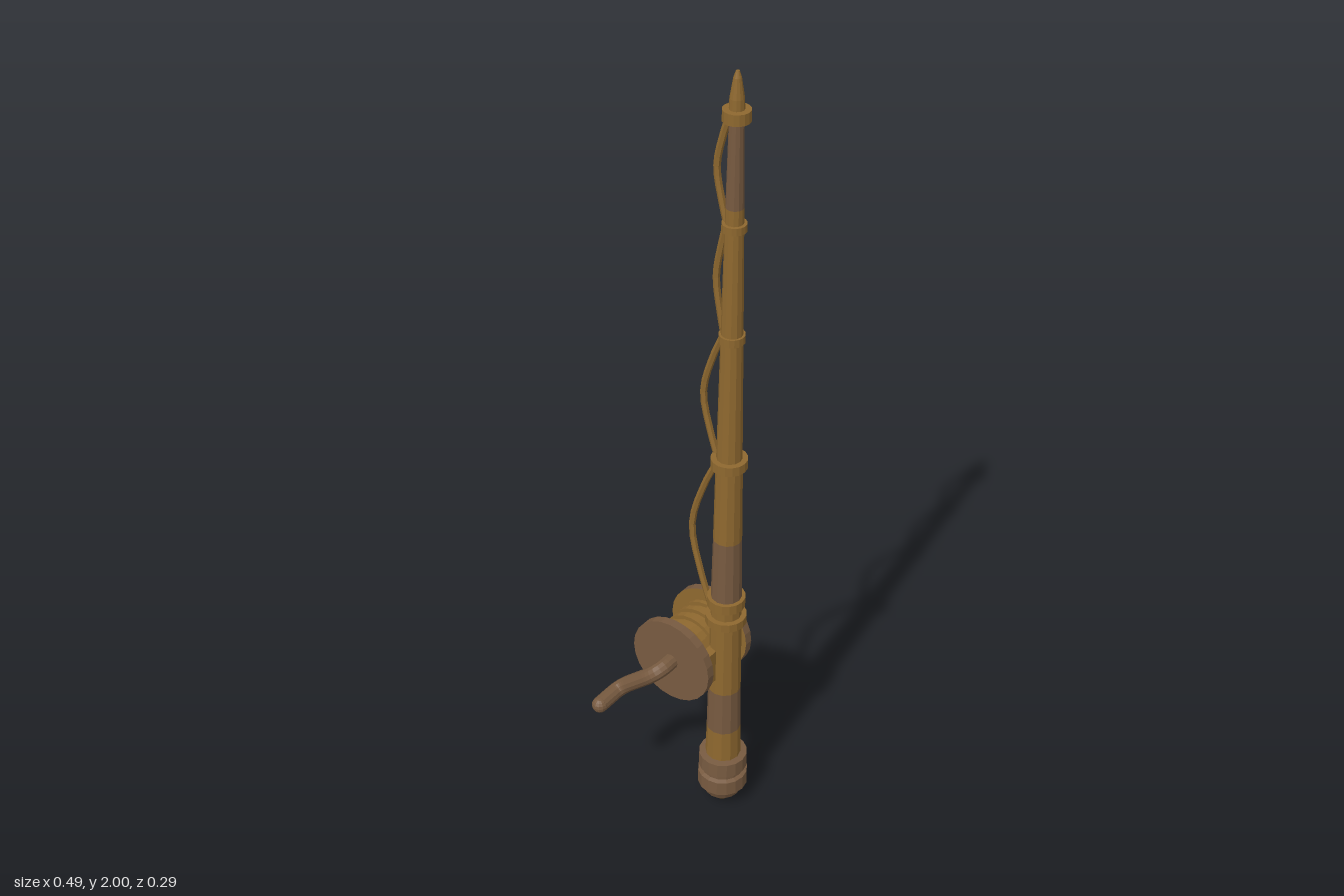
import * as THREE from 'three';

export function createModel() {
  const ochre = new THREE.MeshStandardMaterial({ color: 0x8e682f, flatShading: true });
  ochre.name = 'ochre wood';
  const brown = new THREE.MeshStandardMaterial({ color: 0x775a40, flatShading: true });
  brown.name = 'brown wood';

  const model = new THREE.Group();
  model.name = 'fishingRod';
  const add = (parent, name, geo, mat) => {
    const mesh = new THREE.Mesh(geo, mat);
    mesh.name = name;
    parent.add(mesh);
    return mesh;
  };

  // Rod: leans very slightly forward from butt to tip
  const rod = new THREE.Group();
  rod.name = 'rod';
  rod.position.z = 0.079;
  rod.rotation.x = 0.0108;
  model.add(rod);

  // Tapered shaft sections: bottom y, top y, bottom radius, top radius, stained
  const sections = [
    [0.14, 0.24, 0.044, 0.042, false],
    [0.24, 0.365, 0.042, 0.04, true],
    [0.365, 0.65, 0.04, 0.037, false],
    [0.65, 0.82, 0.037, 0.034, true],
    [0.82, 1.05, 0.034, 0.031, false],
    [1.05, 1.38, 0.03, 0.025, false],
    [1.38, 1.69, 0.025, 0.02, false],
    [1.69, 1.9, 0.02, 0.016, true],
  ];
  const start = -Math.PI * 5 / 6, arc = Math.PI * 4 / 3;
  for (const [y0, y1, r0, r1, stained] of sections) {
    const part = (name, mat, segs, from, len) => {
      const geo = new THREE.CylinderGeometry(r1, r0, y1 - y0, segs, 1, true, from, len);
      add(rod, name, geo, mat).position.y = (y0 + y1) / 2;
    };
    part('shaftFront', stained ? brown : ochre, 8, start, arc);
    part('shaftBack', ochre, 4, start + arc, Math.PI * 2 - arc);
  }

  // Guide rings: y, radius, height
  const rings = [
    [0.585, 0.05, 0.022], [0.637, 0.046, 0.026], [1.038, 0.043, 0.024],
    [1.37, 0.03, 0.02], [1.645, 0.028, 0.018], [1.903, 0.031, 0.026],
  ];
  for (const [y, r, h] of rings) {
    add(rod, 'guideRing', new THREE.CylinderGeometry(r, r, h, 16), ochre).position.y = y;
  }

  // Tip
  const tip = [[0.017, 1.91], [0.016, 1.94], [0.009, 1.985], [0.004, 2], [0, 2]];
  add(rod, 'tip', new THREE.LatheGeometry(tip.map(p => new THREE.Vector2(...p)), 12), ochre);

  // Butt cap with a groove and a rounded end
  const butt = [
    [0.03, 0.01], [0.045, 0.025], [0.054, 0.045], [0.062, 0.052], [0.062, 0.092], [0.052, 0.096],
    [0.052, 0.108], [0.061, 0.112], [0.06, 0.15], [0.04, 0.152],
  ];
  add(rod, 'buttCap', new THREE.LatheGeometry(butt.map(p => new THREE.Vector2(...p)), 16), brown);
  add(rod, 'buttEnd', new THREE.CylinderGeometry(0.03, 0.022, 0.01, 16), ochre).position.y = 0.006;

  // Line: bowed spans between the guides, behind the rod
  const spans = [
    [0.6, 0.04, 1.03, 0.06, -0.03], [1.03, 0.06, 1.37, 0.072, 0.002],
    [1.37, 0.072, 1.645, 0.077, 0.035], [1.645, 0.077, 1.9, 0.083, 0.035],
  ];
  for (const [y0, z0, y1, z1, zBow] of spans) {
    const at = t => y0 + (y1 - y0) * t;
    const zMid = zBow + 0.018;
    const curve = new THREE.CatmullRomCurve3([
      new THREE.Vector3(0, y0, z0),
      new THREE.Vector3(0, at(0.18), (z0 + zMid) / 2),
      new THREE.Vector3(0, at(0.5), zMid - 0.002),
      new THREE.Vector3(0, at(0.82), (z1 + zMid) / 2),
      new THREE.Vector3(0, y1, z1),
    ]);
    add(model, 'line', new THREE.TubeGeometry(curve, 12, 0.008, 6), ochre);
  }

  // Reel: axis along x
  const reel = new THREE.Group();
  reel.name = 'reel';
  reel.position.set(0, 0.455, -0.013);
  model.add(reel);
  const disc = (name, r, width, x, mat) => {
    const geo = new THREE.CylinderGeometry(r, r, width, 24).rotateZ(-Math.PI / 2);
    add(reel, name, geo, mat).position.x = x;
  };
  disc('spoolCore', 0.07, 0.14, 0, ochre);
  for (let i = -2; i <= 2; i++) disc('spoolWinding', 0.08, 0.016, i * 0.032, ochre);
  // Flanges are brown outside and ochre on the inner face
  disc('leftFlange', 0.112, 0.022, 0.078, [brown, brown, ochre]);
  disc('rightFlange', 0.112, 0.022, -0.078, [brown, ochre, brown]);

  // Mount joining reel and rod
  add(reel, 'reelMount', new THREE.BoxGeometry(0.13, 0.09, 0.025), ochre).position.z = 0.085;

  // Cranks
  for (const side of [-1, 1]) {
    const v = (x, y, z) => new THREE.Vector3(side * x, y, z);
    const path = new THREE.CurvePath();
    const a = v(0.08, 0, 0), b = v(0.11, 0, 0), c = v(0.141, 0, 0), d = v(0.141, -0.03, -0.033);
    const e = v(0.141, -0.075, -0.083), f = v(0.141, -0.103, -0.114), g = v(0.17, -0.103, -0.114);
    const h = v(0.224, -0.103, -0.114);
    path.add(new THREE.LineCurve3(a, b));
    path.add(new THREE.QuadraticBezierCurve3(b, c, d));
    path.add(new THREE.LineCurve3(d, e));
    path.add(new THREE.QuadraticBezierCurve3(e, f, g));
    path.add(new THREE.LineCurve3(g, h));
    const crank = new THREE.Group();
    crank.name = side > 0 ? 'leftCrank' : 'rightCrank';
    reel.add(crank);
    add(crank, 'crankArm', new THREE.TubeGeometry(path, 28, 0.02, 12), brown);
    add(crank, 'crankEnd', new THREE.SphereGeometry(0.02, 12, 8), brown).position.copy(h);
  }
  return model;
}
